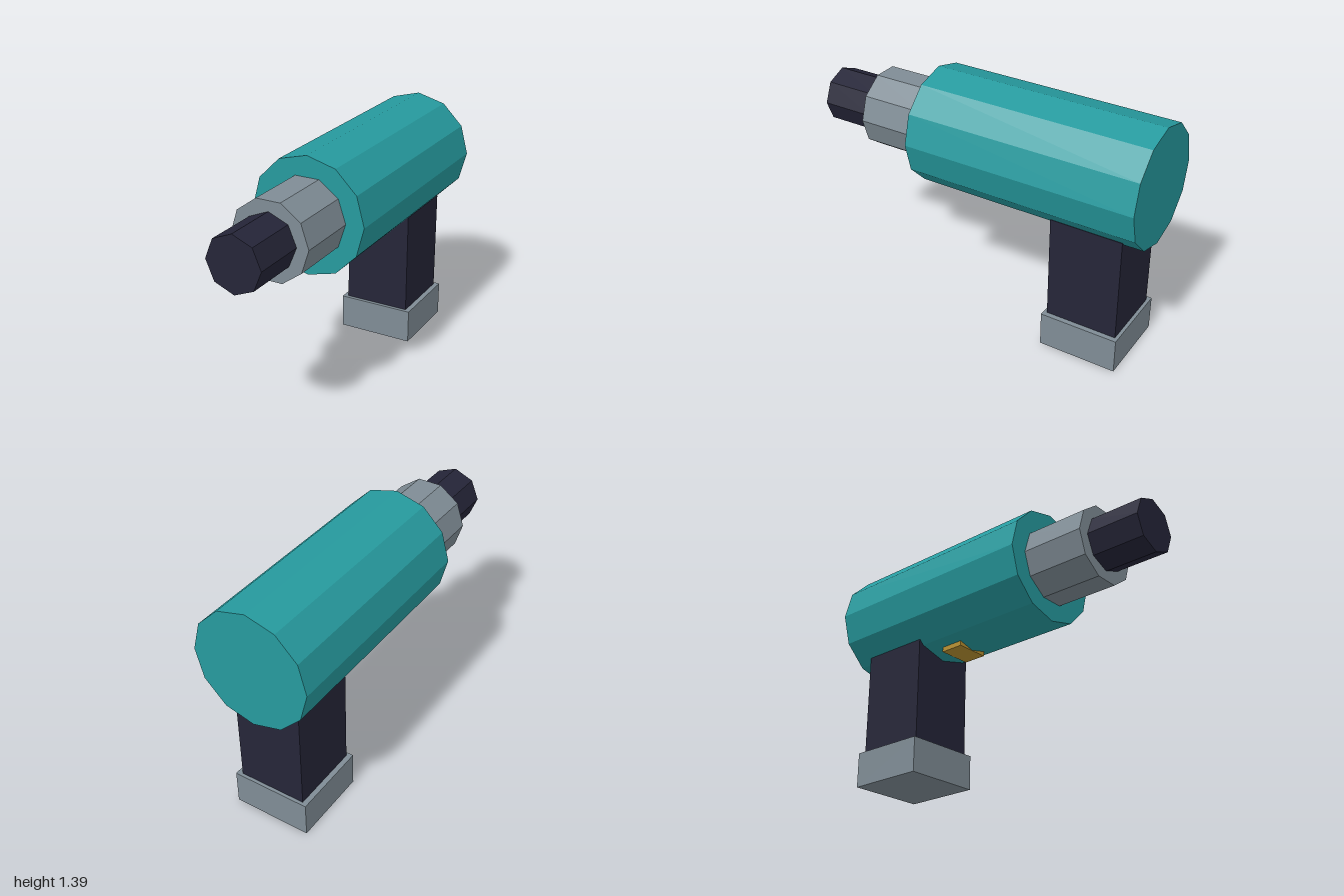
import * as THREE from 'three';

const material = (name, color) => {
  const m = new THREE.MeshStandardMaterial({ color });
  m.name = name;
  return m;
};

export function createModel() {
  const teal = material('teal', 0x269a9e);
  const grey = material('grey', 0x7f8c95);
  const dark = material('dark', 0x252538);
  const gold = material('gold', 0xb89030);

  const model = new THREE.Group();
  model.name = 'powerTool';

  const add = (name, geometry, mat, x, y, z) => {
    const mesh = new THREE.Mesh(geometry, mat);
    mesh.name = name;
    mesh.position.set(x, y, z);
    model.add(mesh);
  };

  // Faceted cylinder lying along z, with a corner on the +x axis
  const barrel = (name, mat, radius, sides, z0, z1) => {
    const geometry = new THREE.CylinderGeometry(radius, radius, z1 - z0, sides, 1, false, Math.PI / 2)
      .rotateX(Math.PI / 2)
      .toNonIndexed();
    geometry.computeVertexNormals(); // flat facets
    add(name, geometry, mat, 0, 1.06, (z0 + z1) / 2);
  };

  const block = (name, mat, width, y0, y1, z0, z1) =>
    add(name, new THREE.BoxGeometry(width, y1 - y0, z1 - z0), mat, 0, (y0 + y1) / 2, (z0 + z1) / 2);

  // Housing, collar and nose
  barrel('body', teal, 0.331, 12, -1, 0.325);
  barrel('collar', grey, 0.225, 10, 0.325, 0.69);
  barrel('nose', dark, 0.157, 8, 0.69, 1);

  // Handle, foot and trigger
  block('grip', dark, 0.39, 0.2, 0.8, -0.895, -0.485);
  block('base', grey, 0.45, 0, 0.2, -0.914, -0.465);
  block('trigger', gold, 0.196, 0.727, 0.83, -0.394, -0.254);

  return model;
}
